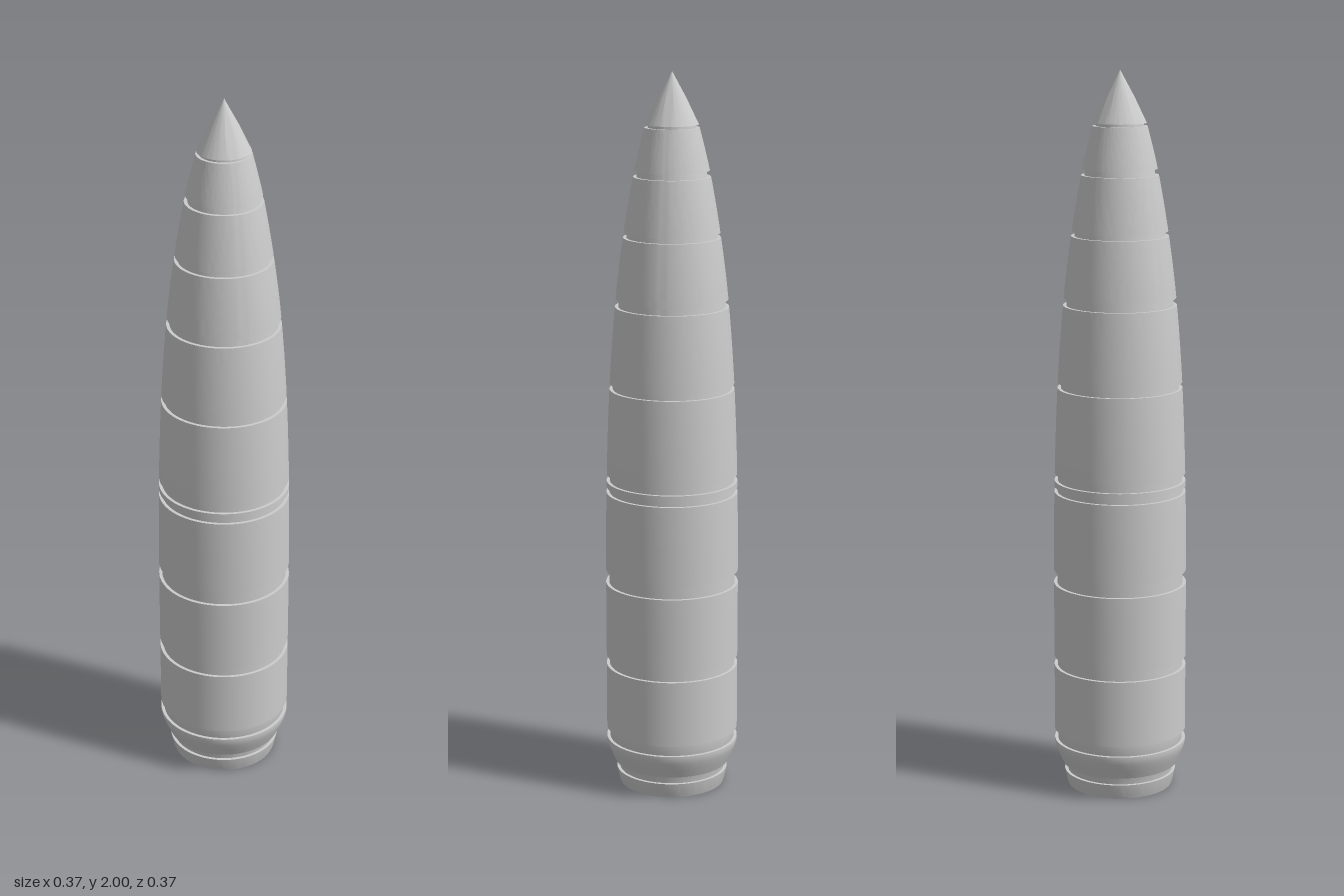
import * as THREE from 'three';
import { toCreasedNormals } from 'three/addons/utils/BufferGeometryUtils.js';

const material = new THREE.MeshStandardMaterial({ color: 0xcccccc });
const GROOVE = 0.009; // depth of the grooves between sections

function lathe(name, points) {
  const geometry = new THREE.LatheGeometry(points.map(([r, y]) => new THREE.Vector2(r, y)), 96);
  const mesh = new THREE.Mesh(toCreasedNormals(geometry, 0.45), material);
  mesh.name = name;
  return mesh;
}

// Outer radius of the ogive body, sampled from a smooth curve over height
const ogive = new THREE.SplineCurve([
  [0.184, 0.16], [0.184, 0.4], [0.184, 0.62], [0.181, 0.88], [0.171, 1.15],
  [0.154, 1.38], [0.132, 1.56], [0.103, 1.73], [0.072, 1.86],
].map(([r, y]) => new THREE.Vector2(r, y)));
const samples = ogive.getPoints(160);
function radiusAt(y) {
  const i = Math.max(1, samples.findIndex((p) => p.y >= y));
  const a = samples[i - 1], b = samples[i];
  return THREE.MathUtils.mapLinear(y, a.y, b.y, a.x, b.x);
}

// A section of the body with flat ends that reach inward past the groove floor
function section(name, bottom, top, steps = 8) {
  const points = [[radiusAt(bottom) - 2 * GROOVE, bottom]];
  for (let i = 0; i <= steps; i++) {
    const y = THREE.MathUtils.lerp(bottom, top, i / steps);
    points.push([radiusAt(y), y]);
  }
  points.push([radiusAt(top) - 2 * GROOVE, top]);
  return lathe(name, points);
}

export function createModel() {
  const model = new THREE.Group();

  // Stacked body sections, bottom to top
  const sections = [
    [0.164, 0.35], [0.376, 0.588], [0.625, 0.848], [0.864, 0.88], [0.9, 1.139],
    [1.155, 1.367], [1.388, 1.556], [1.569, 1.72], [1.737, 1.851],
  ];
  sections.forEach(([bottom, top], i) => model.add(section(`bodySection${i + 1}`, bottom, top)));

  // Inner core that forms the floor of every groove
  const core = [[0.146, 0.03], [0.15, 0.07], [0.175, 0.125]];
  for (let i = 0; i <= 32; i++) {
    const y = THREE.MathUtils.lerp(0.17, 1.858, i / 32);
    core.push([radiusAt(y) - GROOVE, y]);
  }
  core.push([0.064, 1.865]);
  model.add(lathe('core', core));

  // Pointed nose
  model.add(lathe('noseCone', [[0.05, 1.859], [0.072, 1.859], [0.038, 1.93], [0, 2]]));

  // Tapered tail ring
  model.add(lathe('tailRing', [
    [0.14, 0.064], [0.16, 0.064], [0.171, 0.088], [0.18, 0.11], [0.184, 0.125], [0.184, 0.134], [0.16, 0.134],
  ]));

  // Base plug with closed flat bottom
  model.add(lathe('base', [[0, 0], [0.146, 0], [0.149, 0.008], [0.156, 0.042], [0.13, 0.042]]));

  return model;
}
